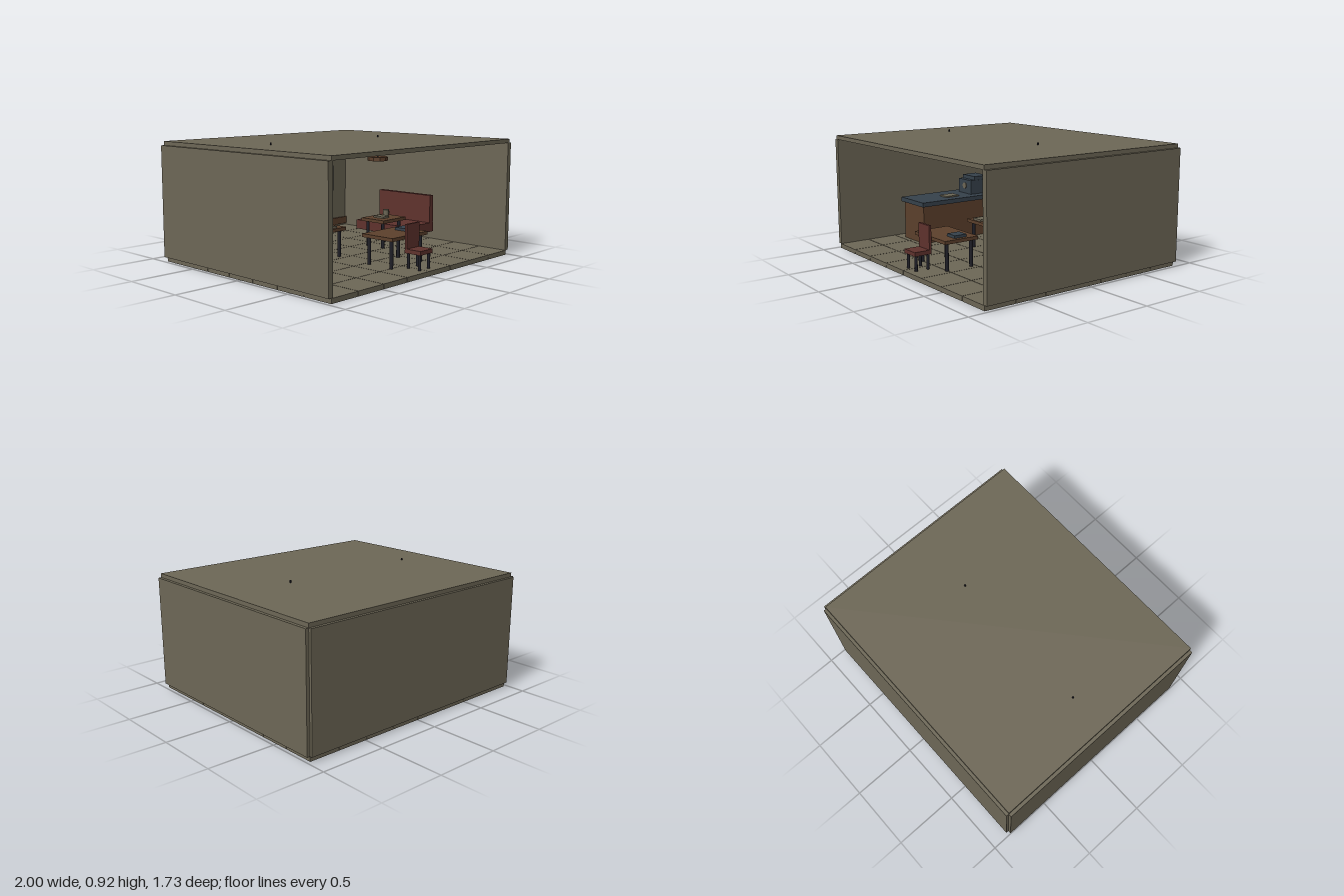
import * as THREE from 'three';

const mat = (name, color, side = THREE.FrontSide) => {
  const m = new THREE.MeshStandardMaterial({ color, side });
  m.name = name;
  return m;
};

export function createModel() {
  const root = new THREE.Group();
  root.name = 'cafeRoom';
  const stone = mat('khaki', 0x6d6756);
  const wood = mat('brown wood', 0x5c402c);
  const blue = mat('slate blue', 0x36414b);
  const red = mat('dark red', 0x5f322d);
  const dark = mat('near black', 0x1e1e26);

  const group = (name, parent = root) => {
    const g = new THREE.Group();
    g.name = name;
    parent.add(g);
    return g;
  };
  // Box given by its extents on each axis
  const box = (parent, name, m, x0, x1, y0, y1, z0, z1) => {
    const b = new THREE.Mesh(new THREE.BoxGeometry(x1 - x0, y1 - y0, z1 - z0), m);
    b.position.set((x0 + x1) / 2, (y0 + y1) / 2, (z0 + z1) / 2);
    b.name = name;
    parent.add(b);
    return b;
  };
  const rod = (parent, name, m, x, y0, y1, z, r, sides = 12) => {
    const c = new THREE.Mesh(new THREE.CylinderGeometry(r, r, y1 - y0, sides), m);
    c.position.set(x, (y0 + y1) / 2, z);
    c.name = name;
    parent.add(c);
    return c;
  };
  const legs = (parent, x0, x1, z0, z1, top, r) => {
    for (const x of [x0, x1]) for (const z of [z0, z1]) rod(parent, 'leg', dark, x, 0.035, top, z, r);
  };

  // Floor of square slabs with narrow gaps
  const floor = group('floor');
  const step = 0.244, gap = 0.004;
  for (let i = 0; i < 8; i++) {
    for (let j = 0; j < 7; j++) {
      const x = -0.976 + i * step, z = -0.845 + j * step;
      box(floor, 'floorTile', stone, x + gap / 2, x + step - gap / 2, 0, 0.035, z + gap / 2, z + step - gap / 2);
    }
  }

  // Shell, open at the front
  const shell = group('shell');
  box(shell, 'rightWall', stone, -1, -0.96, 0.037, 0.87, -0.845, 0.862);
  box(shell, 'leftWall', stone, 0.96, 1, 0.037, 0.87, -0.845, 0.862);
  box(shell, 'backWall', stone, -0.976, 0.976, 0.037, 0.87, -0.865, -0.835);
  box(shell, 'ceiling', stone, -0.976, 0.976, 0.87, 0.9, -0.843, 0.865);
  box(shell, 'baseboard', wood, -0.96, 0.96, 0.05, 0.11, -0.835, -0.82);

  // Back wall windows
  for (const x of [-0.59, 0.095]) {
    const w = group('window');
    box(w, 'glass', blue, x - 0.175, x + 0.175, 0.415, 0.74, -0.835, -0.827);
    for (const s of [-1, 1]) {
      const c = x + s * 0.1875;
      box(w, 'frameSide', wood, c - 0.0125, c + 0.0125, 0.39, 0.765, -0.835, -0.81);
      const y = 0.5775 + s * 0.175;
      box(w, 'frameRail', wood, x - 0.175, x + 0.175, y - 0.0125, y + 0.0125, -0.835, -0.81);
    }
    box(w, 'verticalBar', wood, x - 0.008, x + 0.008, 0.415, 0.74, -0.827, -0.815);
    box(w, 'horizontalBar', wood, x - 0.175, x + 0.175, 0.569, 0.585, -0.827, -0.814);
  }

  // Wall cabinet with a dark panel
  const cabinet = group('wallPanel');
  box(cabinet, 'panelCase', blue, 0.575, 0.76, 0.37, 0.595, -0.835, -0.79);
  box(cabinet, 'panelScreen', dark, 0.61, 0.735, 0.475, 0.545, -0.79, -0.783);

  // Service counter
  const counter = group('counter');
  box(counter, 'counterBody', wood, -0.855, -0.565, 0.035, 0.335, -0.64, 0.337);
  box(counter, 'counterTop', blue, -0.88, -0.545, 0.335, 0.37, -0.655, 0.355);
  box(counter, 'menuCard', stone, -0.72, -0.625, 0.37, 0.38, -0.04, 0.083);

  // Machine on the counter
  const machine = group('counterMachine');
  box(machine, 'machineBody', blue, -0.8, -0.625, 0.37, 0.485, -0.34, -0.16);
  box(machine, 'machineTop', blue, -0.795, -0.63, 0.485, 0.515, -0.33, -0.2);
  const dial = rod(machine, 'dial', stone, -0.71, 0, 0.008, 0, 0.025, 20);
  dial.rotation.x = Math.PI / 2;
  dial.position.set(-0.71, 0.435, -0.157);

  // Mugs with a side handle
  const mug = (x, y, z, h) => {
    const g = group('mug');
    rod(g, 'mugBody', stone, x, y, y + h, z, h * 0.42, 14);
    const t = new THREE.Mesh(new THREE.TorusGeometry(h * 0.26, h * 0.07, 6, 12), stone);
    t.name = 'mugHandle';
    t.position.set(x + h * 0.45, y + h / 2, z);
    g.add(t);
  };
  mug(-0.56, 0.37, -0.4, 0.042);
  mug(0.525, 0.26, 0.02, 0.055);

  // Tables: x and z extents of the top
  const table = (x0, x1, z0, z1) => {
    const g = group('table');
    box(g, 'tableTop', wood, x0, x1, 0.235, 0.26, z0, z1);
    legs(g, x0 + 0.037, x1 - 0.037, z0 + 0.037, z1 - 0.037, 0.235, 0.0135);
  };
  table(-0.285, -0.045, -0.075, 0.115);
  table(-0.163, 0.235, 0.38, 0.66);
  table(0.343, 0.612, -0.08, 0.15);

  // Books on the tables
  box(root, 'blueBook', blue, 0.11, 0.205, 0.26, 0.28, 0.46, 0.56);
  box(root, 'paleBook', stone, -0.22, -0.13, 0.26, 0.275, 0, 0.1);
  box(root, 'paleBook', stone, 0.42, 0.495, 0.26, 0.273, -0.02, 0.08);

  // Chairs facing the open front
  const chair = (name, m, x, z) => {
    const g = group(name);
    box(g, 'seat', m, x - 0.07, x + 0.07, 0.145, 0.175, z, z + 0.137);
    box(g, 'chairBack', m, x - 0.07, x + 0.07, 0.175, 0.35, z, z + 0.018);
    legs(g, x - 0.052, x + 0.052, z + 0.02, z + 0.117, 0.145, 0.011);
  };
  chair('redChair', red, 0.02, 0.68);
  chair('paleChair', stone, -0.173, -0.21);

  // Bench along the left wall
  const bench = group('bench');
  box(bench, 'benchSeat', red, 0.55, 0.89, 0.115, 0.19, -0.32, 0.22);
  box(bench, 'benchBack', red, 0.84, 0.884, 0.19, 0.415, -0.32, 0.22);

  // Hanging lamps, their rods passing through the ceiling
  for (const x of [-0.686, 0.437]) {
    const lamp = group('hangingLamp');
    rod(lamp, 'lampRod', dark, x, 0.745, 0.917, 0.005, 0.006, 8);
    const shade = rod(lamp, 'lampShade', wood, x, 0.715, 0.745, 0.005, 0.08, 10);
    shade.geometry = shade.geometry.toNonIndexed();
    shade.geometry.computeVertexNormals();
  }
  return root;
}
